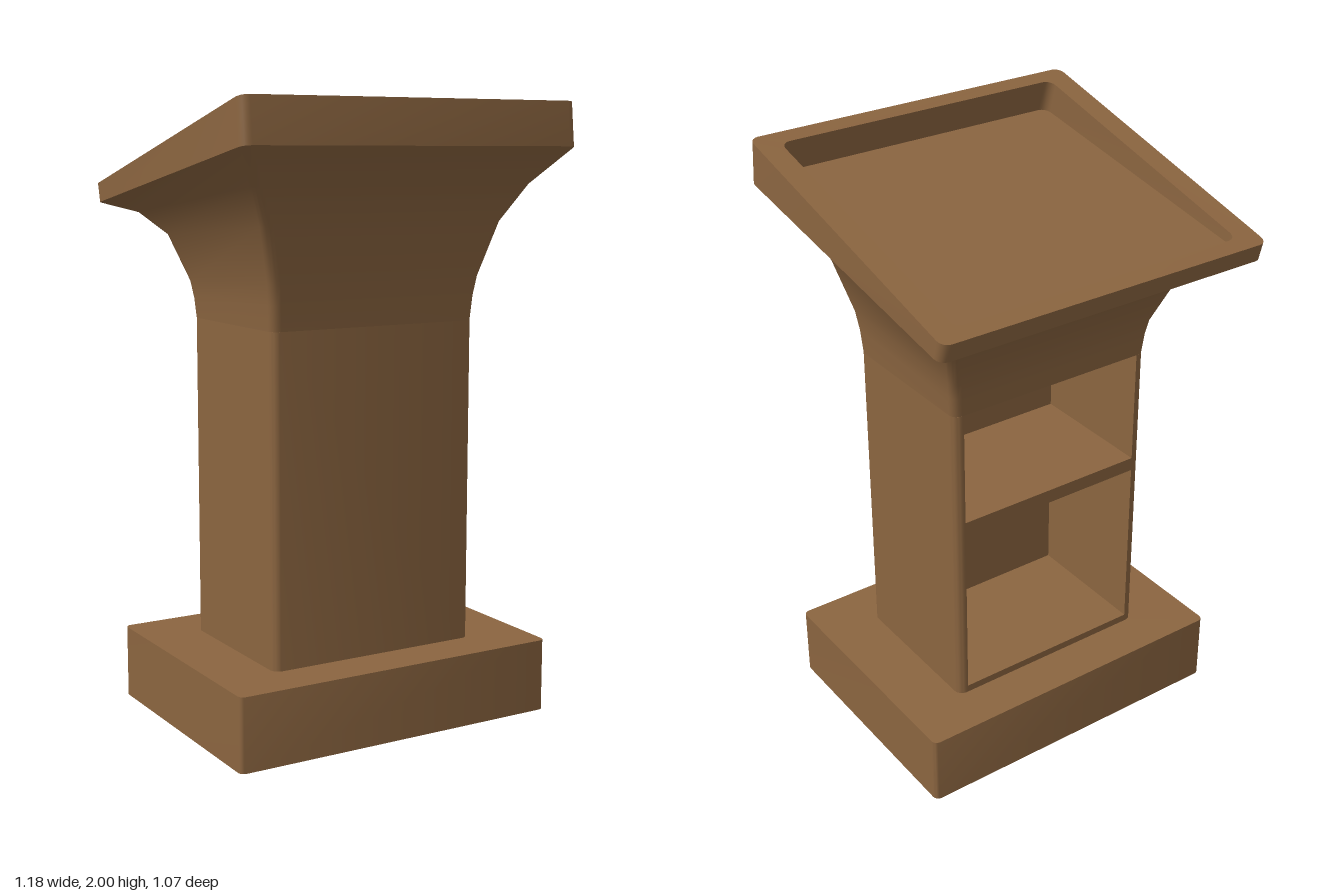
import * as THREE from 'three';
import { toCreasedNormals } from 'three/addons/utils/BufferGeometryUtils.js';

const wood = new THREE.MeshStandardMaterial({ color: 0x8b6540 });

// Rounded rectangle in a plane that may tilt from front to back
function ring([hx, zFront, yFront, zBack, yBack], r) {
  const corners = [[hx - r, zFront - r], [r - hx, zFront - r], [r - hx, zBack + r], [hx - r, zBack + r]];
  const points = [];
  corners.forEach(([cx, cz], q) => {
    for (let i = 0; i <= 4; i++) {
      const a = (q + i / 4) * Math.PI / 2;
      const z = cz + r * Math.sin(a);
      const y = yBack + (yFront - yBack) * (z - zBack) / (zFront - zBack);
      points.push([cx + r * Math.cos(a), y, z]);
    }
  });
  return points;
}

// Skin over a stack of rings, with optional end caps
function loft(specs, r, capStart = true, capEnd = true) {
  const rings = specs.map((s) => ring(s, r));
  const n = rings[0].length;
  const pos = rings.flat(2);
  const index = [];
  for (let k = 0; k < rings.length - 1; k++) {
    for (let i = 0; i < n; i++) {
      const j = (i + 1) % n;
      const a = k * n + i, b = k * n + j;
      index.push(a, a + n, b, b, a + n, b + n);
    }
  }
  const cap = (k, up) => {
    const s = specs[k], c = pos.length / 3;
    pos.push(0, (s[2] + s[4]) / 2, (s[1] + s[3]) / 2);
    for (let i = 0; i < n; i++) {
      const a = k * n + i, b = k * n + (i + 1) % n;
      index.push(c, ...(up ? [b, a] : [a, b]));
    }
  };
  if (capStart) cap(0, false);
  if (capEnd) cap(rings.length - 1, true);
  const g = new THREE.BufferGeometry();
  g.setAttribute('position', new THREE.Float32BufferAttribute(pos, 3));
  g.setIndex(index);
  return toCreasedNormals(g, 0.72);
}

// Upright walls, open to the back
function cabinetWalls(bottom, top) {
  const hx = 0.37, front = -0.295, back = 0.25, r = 0.03, inner = 0.335;
  const s = new THREE.Shape();
  s.moveTo(-inner, back);
  s.lineTo(-inner, -0.2);
  s.lineTo(inner, -0.2);
  s.lineTo(inner, back);
  s.absarc(hx - r, back - r, r, Math.PI / 2, 0, true);
  s.absarc(hx - r, front + r, r, 0, -Math.PI / 2, true);
  s.absarc(r - hx, front + r, r, -Math.PI / 2, -Math.PI, true);
  s.absarc(r - hx, back - r, r, Math.PI, Math.PI / 2, true);
  const g = new THREE.ExtrudeGeometry(s, { depth: top - bottom, bevelEnabled: false, curveSegments: 4 });
  g.rotateX(-Math.PI / 2).translate(0, bottom, 0);
  return toCreasedNormals(g, 0.72);
}

export function createModel() {
  const group = new THREE.Group();
  const add = (name, geometry) => {
    const mesh = new THREE.Mesh(geometry, wood);
    mesh.name = name;
    group.add(mesh);
    return mesh;
  };

  add('base', loft([[0.57, 0.45, 0, -0.405, 0], [0.57, 0.45, 0.24, -0.405, 0.24]], 0.02));
  add('cabinetWalls', cabinetWalls(0.24, 1.305));

  // Boards across the open back: cabinet floor and middle shelf
  for (const [name, y0, y1] of [['cabinetFloor', 0.24, 0.265], ['shelf', 0.87, 0.917]]) {
    const board = add(name, new THREE.BoxGeometry(0.67, y1 - y0, 0.45));
    board.position.set(0, (y0 + y1) / 2, -0.025);
  }

  // Flared neck; its rings tilt gradually to meet the sloping top
  add('flaredNeck', loft([
    [0.37, 0.295, 1.305, -0.25, 1.305],
    [0.375, 0.303, 1.385, -0.257, 1.37],
    [0.383, 0.315, 1.45, -0.268, 1.425],
    [0.432, 0.362, 1.625, -0.332, 1.575],
    [0.5, 0.425, 1.745, -0.412, 1.645],
    [0.59, 0.535, 1.86, -0.52, 1.675],
  ], 0.03, true, false));

  // Wedge-shaped reading tray: underside, outer edge, rim, recessed floor
  add('readingTray', loft([
    [0.59, 0.535, 1.86, -0.52, 1.675],
    [0.59, 0.52, 2.0, -0.535, 1.735],
    [0.512, 0.465, 1.986, -0.48, 1.749],
    [0.512, 0.49, 1.882, -0.47, 1.715],
  ], 0.03));

  return group;
}
